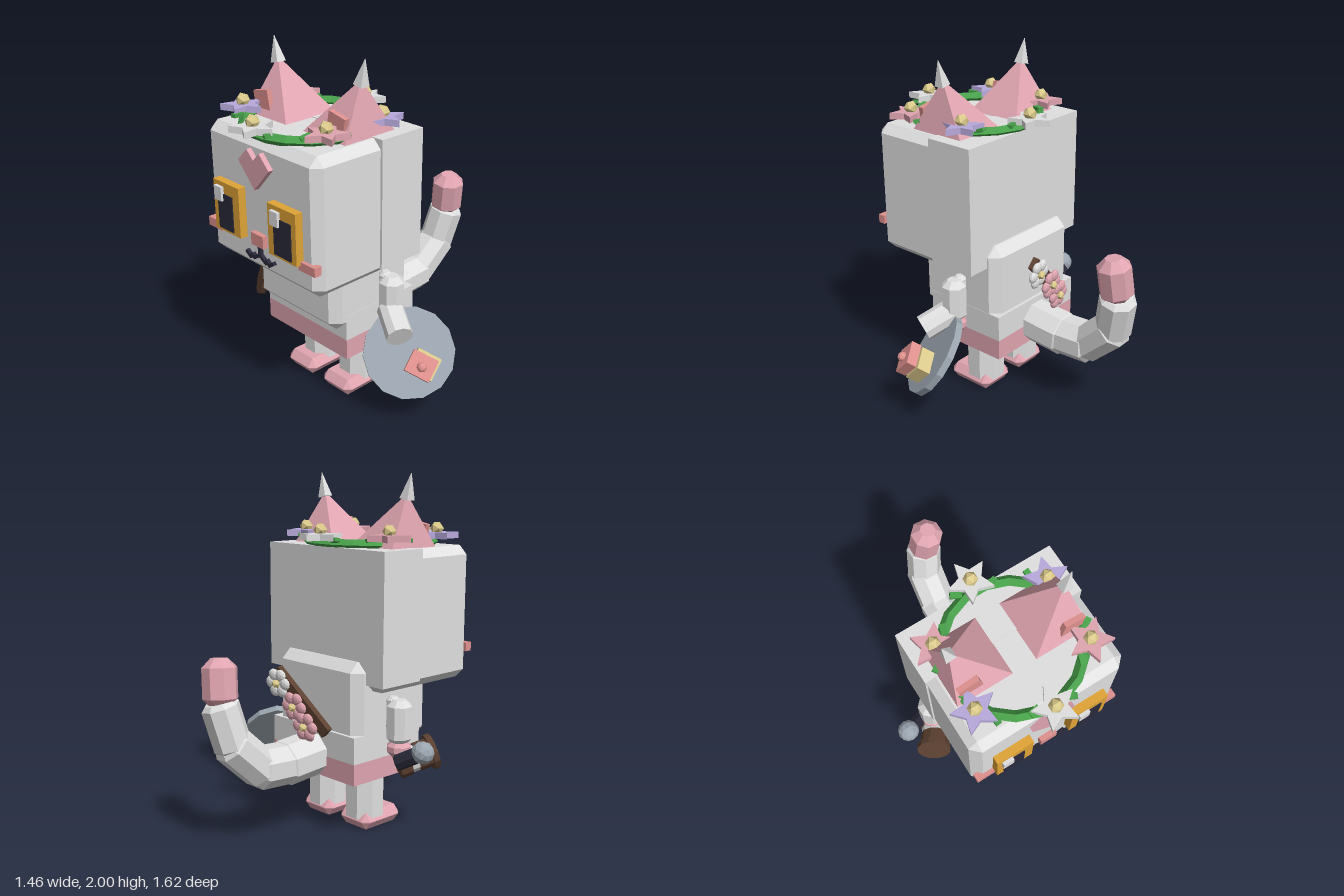
import * as THREE from 'three';
import { ConvexGeometry } from 'three/addons/geometries/ConvexGeometry.js';

const C = -0.08; // centre line of the body
const V = (x, y, z) => new THREE.Vector3(x, y, z);
const UP = V(0, 1, 0);

const mats = {};
for (const [name, color] of Object.entries({
  white: 0xe0e0e0, pink: 0xe0a5b0, salmon: 0xdf918e, amber: 0xe0a437, navy: 0x2a2a3a,
  gold: 0xdccb8c, green: 0x48a04a, lavender: 0xb9aadc, slate: 0x9ca6b0, brown: 0x5e4232,
})) {
  mats[name] = new THREE.MeshStandardMaterial({ color, flatShading: true });
  mats[name].name = name;
}

export function createModel() {
  const model = new THREE.Group();
  model.name = 'catFigure';

  const add = (name, geo, mat, pos, parent = model) => {
    const m = new THREE.Mesh(geo, mats[mat]);
    m.name = name;
    if (pos) m.position.copy(pos);
    parent.add(m);
    return m;
  };
  // Box given by its limits
  const box = (name, mat, x0, x1, y0, y1, z0, z1) =>
    add(name, new THREE.BoxGeometry(x1 - x0, y1 - y0, z1 - z0), mat,
      V((x0 + x1) / 2, (y0 + y1) / 2, (z0 + z1) / 2));
  // Box with chamfered edges: three points at each corner
  const bevelBox = (name, mat, x0, x1, y0, y1, z0, z1, b, by = b) => {
    const pts = [], h = V((x1 - x0) / 2, (y1 - y0) / 2, (z1 - z0) / 2);
    for (const i of [-1, 1]) for (const j of [-1, 1]) for (const k of [-1, 1]) {
      pts.push(V(i * h.x, j * (h.y - by), k * (h.z - b)));
      pts.push(V(i * (h.x - b), j * h.y, k * (h.z - b)));
      pts.push(V(i * (h.x - b), j * (h.y - by), k * h.z));
    }
    return add(name, new ConvexGeometry(pts), mat, V((x0 + x1) / 2, (y0 + y1) / 2, (z0 + z1) / 2));
  };
  // Cylinder or chamfered cylinder from a to b
  const rod = (name, mat, a, b, r0, r1 = r0, sides = 8, chamfer = 0) => {
    const L = a.distanceTo(b), c = chamfer;
    const profile = [[0, 0], [r0 - c, 0], [r0, c], [r1, L - c], [r1 - c, L], [0, L]];
    const geo = c ? new THREE.LatheGeometry(profile.map(p => new THREE.Vector2(...p)), sides)
      : new THREE.CylinderGeometry(r1, r0, L, sides).translate(0, L / 2, 0);
    geo.rotateY(Math.PI / sides);
    const m = add(name, geo, mat, a);
    m.quaternion.setFromUnitVectors(UP, b.clone().sub(a).normalize());
    return m;
  };

  // Head and torso
  bevelBox('head', 'white', -0.53, 0.37, 0.84, 1.6, -0.04, 0.68, 0.05);
  box('headBack', 'white', -0.54, 0.383, 0.88, 1.604, -0.045, 0.25);
  bevelBox('torso', 'white', -0.415, 0.255, 0.51, 1.0, -0.11, 0.47, 0.055);
  box('hips', 'white', -0.415, 0.257, 0.45, 0.6, -0.13, 0.39);
  box('waistBand', 'pink', -0.415, 0.257, 0.33, 0.45, -0.13, 0.39);

  // Face
  const heart = new THREE.Shape([[-0.125, 1.465], [0, 1.33], [0.125, 1.465], [0.05, 1.54], [0, 1.49], [-0.05, 1.54]]
    .map(p => new THREE.Vector2(p[0] + C, p[1])));
  add('foreheadHeart', new THREE.ExtrudeGeometry(heart, { depth: 0.04, bevelEnabled: false }), 'pink', V(0, 0, 0.67));
  for (const [x, px0, px1] of [[-0.42, -0.38, -0.255], [0.04, 0.09, 0.225]]) {
    box('eye', 'amber', x, x + 0.22, 1.02, 1.305, 0.66, 0.726);
    box('pupil', 'navy', px0, px1, 1.035, 1.24, 0.724, 0.732);
    box('eyeHighlight', 'white', px0 - 0.012, px0 + 0.05, 1.2, 1.28, 0.725, 0.745);
  }
  for (const s of [-1, 1]) {
    const x = C + s * 0.385;
    box('cheek', 'salmon', x - 0.062, x + 0.062, 0.99, 1.04, 0.655, 0.7);
  }
  box('nose', 'salmon', C - 0.05, C + 0.05, 1.01, 1.08, 0.66, 0.71);
  const stroke = (x0, y0, x1, y1) => {
    const m = add('mouth', new THREE.BoxGeometry(Math.hypot(x1 - x0, y1 - y0) + 0.01, 0.02, 0.025), 'navy',
      V(C + (x0 + x1) / 2, (y0 + y1) / 2, 0.688));
    m.rotation.z = Math.atan2(y1 - y0, x1 - x0);
  };
  stroke(0, 1.01, 0, 0.95);
  for (const s of [-1, 1]) {
    stroke(0, 0.955, s * 0.05, 0.925);
    stroke(s * 0.055, 0.942, s * 0.08, 0.922);
    stroke(s * 0.08, 0.922, s * 0.112, 0.944);
  }

  // Ears with pale tips and inner patches
  for (const s of [-1, 1]) {
    const base = [[0.06, 0.08], [0.39, 0.08], [0.39, 0.44], [0.06, 0.44]].map(([x, z]) => V(C + s * x, 1.59, z));
    add('ear', new ConvexGeometry([...base, V(C + s * 0.325, 1.89, 0.265)]), 'pink');
    rod('earTip', 'white', V(C + s * 0.325, 1.86, 0.265), V(C + s * 0.354, 2.0, 0.265), 0.042, 0.001, 4);
    add('innerEar', new THREE.BoxGeometry(0.12, 0.11, 0.03), 'salmon', V(C + s * 0.295, 1.68, 0.398)).rotation.z = -s * 0.2;
  }

  // Flower wreath
  const ring = add('wreath', new THREE.TorusGeometry(0.355, 0.03, 4, 18), 'green', V(C, 1.618, 0.32));
  ring.rotation.x = Math.PI / 2;
  const star = new THREE.Shape();
  for (let i = 0; i < 10; i++) {
    const r = i % 2 ? 0.06 : 0.122, a = i * Math.PI / 5;
    star[i ? 'lineTo' : 'moveTo'](r * Math.cos(a), r * Math.sin(a));
  }
  const starGeo = new THREE.ExtrudeGeometry(star, { depth: 0.036, bevelEnabled: false }).rotateX(-Math.PI / 2);
  ['white', 'pink', 'lavender', 'white', 'pink', 'lavender'].forEach((colour, i) => {
    const a = i * Math.PI / 3, p = V(C + 0.385 * Math.sin(a), 1.64, 0.315 + 0.385 * Math.cos(a));
    add('wreathFlower', starGeo, colour, p).rotation.y = 0.25 + i * 0.5;
    add('flowerCentre', new THREE.IcosahedronGeometry(0.04, 0), 'gold', p.clone().setY(1.695));
  });
  for (let i = 0; i < 12; i++) {
    const a = (i + 0.5) * Math.PI / 6, r = i % 2 ? 0.35 : 0.385;
    const leaf = add('leaf', new THREE.BoxGeometry(0.06, 0.02, 0.032), 'green',
      V(C + r * Math.sin(a), 1.643, 0.32 + r * Math.cos(a)));
    leaf.rotation.set(0.15, a + (i % 2 ? 0.5 : -0.7), 0.15);
  }

  // Legs, feet, shoulders, arms and paws
  for (const s of [-1, 1]) {
    const x = C + s * 0.155, ax = C + s * 0.42;
    rod('leg', 'white', V(x, 0.06, 0.135), V(x, 0.36, 0.135), 0.115);
    bevelBox('foot', 'pink', x - 0.117, x + 0.117, 0, 0.1, 0.03, 0.33, 0.035, 0.048);
    rod('shoulder', 'white', V(C + s * 0.375, 0.6, 0.13), V(C + s * 0.375, 0.8, 0.13), 0.04, 0.04, 8, 0.02);
    rod('arm', 'white', V(ax, 0.54, 0.13), V(ax, 0.79, 0.13), 0.073, 0.073, 8, 0.035);
    rod('paw', 'pink', V(ax, 0.47, 0.13), V(ax, 0.56, 0.13), 0.07, 0.07, 8, 0.03);
  }
  rod('forearm', 'white', V(0.34, 0.59, 0.14), V(0.5, 0.51, 0.225), 0.075, 0.075, 10);

  // Shield with a gift block, facing outwards, up and forwards
  const n = V(0.62, 0.57, 0.54).normalize(), hub = V(0.495, 0.375, 0.145);
  rod('shield', 'slate', hub.clone().addScaledVector(n, -0.02), hub.clone().addScaledVector(n, 0.02), 0.255, 0.255, 14);
  for (const [name, mat, size, p] of [
    ['shieldBlock', 'gold', [0.14, 0.1, 0.13], V(0.605, 0.345, 0.14)],
    ['shieldBadge', 'salmon', [0.145, 0.06, 0.125], V(0.642, 0.385, 0.205)],
    ['badgeKnob', 'salmon', null, V(0.668, 0.4, 0.228)],
  ]) {
    const m = add(name, size ? new THREE.BoxGeometry(...size) : new THREE.IcosahedronGeometry(0.028, 1), mat, p);
    m.quaternion.setFromUnitVectors(UP, n);
    m.rotateY(0.35);
  }

  // Mallet in the other paw
  const m0 = V(-0.49, 0.42, 0.13), m1 = V(-0.6, 0.487, 0.31);
  const along = t => m0.clone().lerp(m1, t);
  rod('malletBase', 'brown', along(0), along(0.3), 0.085, 0.085, 10);
  rod('malletBand', 'white', along(0.3), along(0.5), 0.075, 0.075, 10);
  rod('malletBody', 'brown', along(0.5), along(0.85), 0.08, 0.08, 10);
  rod('malletFace', 'brown', along(0.85), along(1), 0.1, 0.1, 12);
  rod('malletHandle', 'navy', V(-0.54, 0.45, 0.08), V(-0.67, 0.525, 0.135), 0.045);
  add('malletKnob', new THREE.IcosahedronGeometry(0.064, 1), 'slate', V(-0.67, 0.525, 0.135));

  // Curled tail
  const tail = [V(C, 0.45, -0.08), V(C, 0.43, -0.33), V(C, 0.44, -0.51), V(-0.065, 0.6, -0.68), V(-0.03, 0.8, -0.725), V(0.005, 1.06, -0.705)];
  for (let i = 0; i < 5; i++) {
    const d = tail[i + 1].clone().sub(tail[i]).normalize().multiplyScalar(i < 4 ? 0.035 : 0);
    const r = 0.128 - i * 0.008;
    rod(i < 4 ? 'tailSegment' : 'tailTip', i < 4 ? 'white' : 'pink',
      tail[i].clone().sub(d), tail[i + 1].clone().add(d), r, r, 8, i < 4 ? 0.025 : 0.05);
  }

  // Flowered plank on the back
  const plank = add('backPlank', new THREE.BoxGeometry(0.07, 0.46, 0.035), 'brown', V(-0.07, 0.755, -0.2));
  plank.rotation.set(-0.12, 0.14, -Math.PI / 4);
  for (const [mat, x, y, z] of [['white', 0.065, 0.845, -0.26], ['pink', -0.06, 0.73, -0.25], ['pink', -0.14, 0.63, -0.24]]) {
    const flower = new THREE.Group();
    flower.name = 'backFlower';
    flower.position.set(x, y, z);
    flower.rotation.set(-0.1, 0.1, 0);
    model.add(flower);
    for (let i = 0; i < 6; i++) {
      const a = i * Math.PI / 3;
      add('petal', new THREE.IcosahedronGeometry(0.036, 1), mat, V(0.052 * Math.cos(a), 0.052 * Math.sin(a), 0), flower).scale.z = 0.55;
    }
    add('petalCentre', new THREE.IcosahedronGeometry(0.026, 0), 'gold', V(0, 0, -0.016), flower);
  }
  return model;
}
